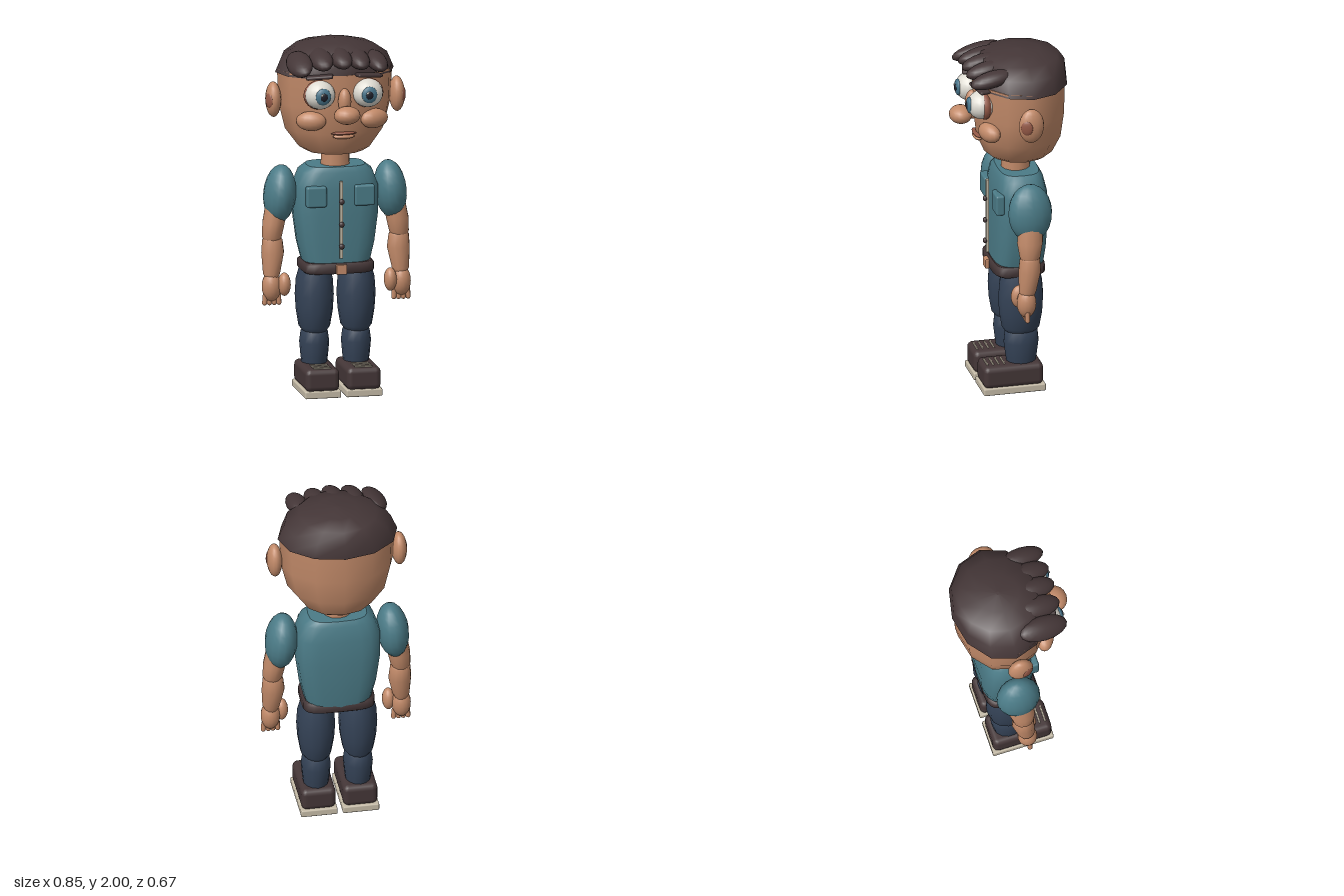
import * as THREE from 'three';
import { RoundedBoxGeometry } from 'three/addons/geometries/RoundedBoxGeometry.js';

const mat = (name, color) => {
  const m = new THREE.MeshStandardMaterial({ color });
  m.name = name;
  return m;
};

// Stack of superellipse rings [y, rx, rz, x, z], capped at both ends; power 2 is an ellipse
function loft(rings, sides = 12, power = 2) {
  const pos = [], index = [], n = rings.length;
  const bend = v => Math.sign(v) * Math.abs(v) ** (2 / power);
  for (const [y, rx, rz, x = 0, z = 0] of rings)
    for (let i = 0; i < sides; i++) {
      const a = (i / sides) * Math.PI * 2;
      pos.push(x + rx * bend(Math.sin(a)), y, z + rz * bend(Math.cos(a)));
    }
  for (let j = 0; j < n - 1; j++)
    for (let i = 0; i < sides; i++) {
      const a = j * sides + i, b = j * sides + (i + 1) % sides;
      index.push(a, b, b + sides, a, b + sides, a + sides);
    }
  // Caps get their own vertices so the rim stays sharp
  for (const [j, top] of [[0, false], [n - 1, true]]) {
    const start = pos.length / 3;
    const [y, , , x = 0, z = 0] = rings[j];
    pos.push(...pos.slice(j * sides * 3, (j + 1) * sides * 3), x, y, z);
    for (let i = 0; i < sides; i++) {
      const a = start + i, b = start + (i + 1) % sides, c = start + sides;
      index.push(...(top ? [c, a, b] : [c, b, a]));
    }
  }
  const g = new THREE.BufferGeometry();
  g.setAttribute('position', new THREE.Float32BufferAttribute(pos, 3));
  g.setIndex(index);
  g.computeVertexNormals();
  return g;
}

export function createModel() {
  const root = new THREE.Group();
  const skin = mat('skin', 0xc28a69);
  const dark = mat('darkBrown', 0x443637);
  const teal = mat('shirtTeal', 0x4b7b87);
  const navy = mat('trouserNavy', 0x344256);
  const white = mat('eyeWhite', 0xdedbd2);
  const beige = mat('beige', 0xc4baa6);
  const iris = mat('irisBlue', 0x47748a);
  const black = mat('pupilBlack', 0x1d1f29);
  const pink = mat('innerPink', 0x935846);

  const add = (name, geometry, material, p = [0, 0, 0], r = [0, 0, 0]) => {
    const m = new THREE.Mesh(geometry, material);
    m.name = name;
    m.position.set(...p);
    m.rotation.set(...r);
    root.add(m);
    return m;
  };
  const unitBall = new THREE.SphereGeometry(1, 16, 12);
  const ball = (name, material, p, size, r) =>
    add(name, unitBall, material, p, r).scale.set(...size);
  const box = (name, material, p, size, radius = 0.01, r) =>
    add(name, new RoundedBoxGeometry(...size, 2, radius), material, p, r);

  // Head, hair cap and neck
  add('head', loft([[1.37, 0.165, 0.16], [1.395, 0.205, 0.195], [1.5, 0.283, 0.24],
    [1.65, 0.32, 0.258], [1.84, 0.328, 0.262]]), skin, [0, 0, -0.06]);
  add('hairCap', loft([[1.82, 0.338, 0.268], [1.91, 0.3, 0.258], [1.965, 0.22, 0.22],
    [1.99, 0.11, 0.12], [2, 0.01, 0.01]]), dark, [0, 0, -0.067]);
  add('neck', new THREE.CylinderGeometry(0.08, 0.083, 0.16, 12), skin, [0, 1.33, -0.045]);

  // Swept fringe locks
  const locks = [[-0.24, 1.9, 0.12, 0.07, 0.145], [-0.12, 1.925, 0.13, 0.064, 0.13],
    [-0.01, 1.93, 0.145, 0.06, 0.12], [0.09, 1.922, 0.145, 0.06, 0.12], [0.195, 1.905, 0.14, 0.058, 0.125]];
  for (const [x, y, z, w, l] of locks)
    ball('hairLock', dark, [x, y, z], [w, 0.044, l], [0.2, 0.06, x < -0.2 ? 0.45 : -x * 1.2 + 0.12]);

  // Nose and mouth
  ball('noseBridge', skin, [0, 1.695, 0.205], [0.037, 0.075, 0.04]);
  ball('noseTip', skin, [0, 1.63, 0.27], [0.075, 0.051, 0.065]);
  ball('upperLip', pink, [0, 1.508, 0.178], [0.072, 0.01, 0.022]);
  ball('lowerLip', skin, [0, 1.49, 0.176], [0.062, 0.014, 0.024]);

  // Torso, belt and shirt front
  add('shirt', loft([[0.73, 0.185, 0.14, 0, -0.045], [0.85, 0.215, 0.148, 0, -0.05],
    [1.02, 0.238, 0.153, 0, -0.053], [1.17, 0.238, 0.148, 0, -0.053],
    [1.26, 0.205, 0.13, 0, -0.05], [1.29, 0.165, 0.112, 0, -0.05]], 20, 3.2), teal);
  add('belt', loft([[0.688, 0.19, 0.135], [0.7, 0.205, 0.15], [0.738, 0.205, 0.15],
    [0.75, 0.19, 0.135]], 24, 4.5), dark, [0, 0, -0.035]);
  box('buckle', skin, [0, 0.718, 0.122], [0.06, 0.055, 0.025], 0.005);
  box('placket', beige, [0, 1, 0.116], [0.02, 0.44, 0.018], 0.004);
  for (const y of [1.105, 0.975, 0.85]) ball('button', dark, [0, y, 0.13], [0.016, 0.016, 0.012]);

  for (const s of [1, -1]) {
    // Eyes
    ball('eyeSocket', pink, [s * 0.137, 1.733, 0.172], [0.091, 0.083, 0.042]);
    ball('eyeball', white, [s * 0.136, 1.735, 0.187], [0.085, 0.08, 0.078]);
    ball('iris', iris, [s * 0.132, 1.737, 0.252], [0.044, 0.047, 0.018]);
    ball('pupil', black, [s * 0.13, 1.737, 0.265], [0.022, 0.024, 0.009]);
    ball('eyeGlint', white, [s * 0.13 - 0.012, 1.75, 0.272], [0.006, 0.006, 0.004]);
    box('eyebrow', dark, [s * 0.14, 1.838, 0.195], [0.15, 0.02, 0.06], 0.009, [0, s * 0.25, -s * 0.08]);

    // Cheeks and ears
    ball('cheek', skin, [s * 0.18, 1.58, 0.15], [0.085, 0.055, 0.05], [0, s * 0.35, 0]);
    ball('ear', skin, [s * 0.352, 1.67, -0.048], [0.043, 0.1, 0.072]);
    ball('innerEar', pink, [s * 0.382, 1.67, -0.015], [0.012, 0.042, 0.034], [0, -s * 0.4, 0]);

    // Chest pocket
    box('pocket', teal, [s * 0.137, 1.132, 0.088], [0.115, 0.118, 0.05], 0.012);

    // Sleeve and arm
    ball('sleeve', teal, [s * 0.315, 1.128, -0.05], [0.09, 0.166, 0.125], [0, 0, s * 0.1]);
    add('upperArm', loft([[0.86, 0.04, 0.045, s * 0.363, -0.036], [0.89, 0.056, 0.06, s * 0.362, -0.037],
      [0.97, 0.064, 0.074, s * 0.352, -0.04], [1.08, 0.06, 0.07, s * 0.335, -0.045]]), skin);
    add('forearm', loft([[0.655, 0.036, 0.04, s * 0.367, -0.02], [0.685, 0.049, 0.05, s * 0.367, -0.022],
      [0.8, 0.065, 0.064, s * 0.358, -0.036], [0.87, 0.058, 0.058, s * 0.36, -0.037],
      [0.89, 0.045, 0.046, s * 0.36, -0.037]]), skin);

    // Hand
    ball('palm', skin, [s * 0.37, 0.61, -0.015], [0.054, 0.085, 0.055]);
    ball('thumb', skin, [s * 0.302, 0.625, 0.012], [0.036, 0.066, 0.045]);
    for (let i = 0; i < 4; i++)
      add('finger', new THREE.CapsuleGeometry(0.0145, 0.045, 4, 8), skin,
        [s * (0.329 + i * 0.026), 0.54, -0.012], [0, 0, s * (i - 1.5) * 0.05]);

    // Leg
    add('thigh', loft([[0.34, 0.065, 0.085], [0.37, 0.087, 0.108], [0.46, 0.102, 0.124],
      [0.55, 0.108, 0.129], [0.64, 0.102, 0.122], [0.71, 0.083, 0.105]], 14),
      navy, [s * 0.119, 0, -0.045]);
    add('calf', loft([[0.14, 0.068, 0.08], [0.2, 0.076, 0.09], [0.28, 0.083, 0.1],
      [0.34, 0.075, 0.094], [0.37, 0.055, 0.07]], 14), navy, [s * 0.119, 0, -0.047]);

    // Shoe with laces
    box('shoe', dark, [s * 0.118, 0.1, 0.014], [0.195, 0.13, 0.342], 0.032);
    box('sole', beige, [s * 0.118, 0.022, 0.012], [0.206, 0.042, 0.355], 0.008);
    for (let i = 0; i < 4; i++)
      box('lace', beige, [s * 0.118, 0.166, 0.06 + i * 0.032], [0.1, 0.008, 0.009], 0.003);
  }
  return root;
}
